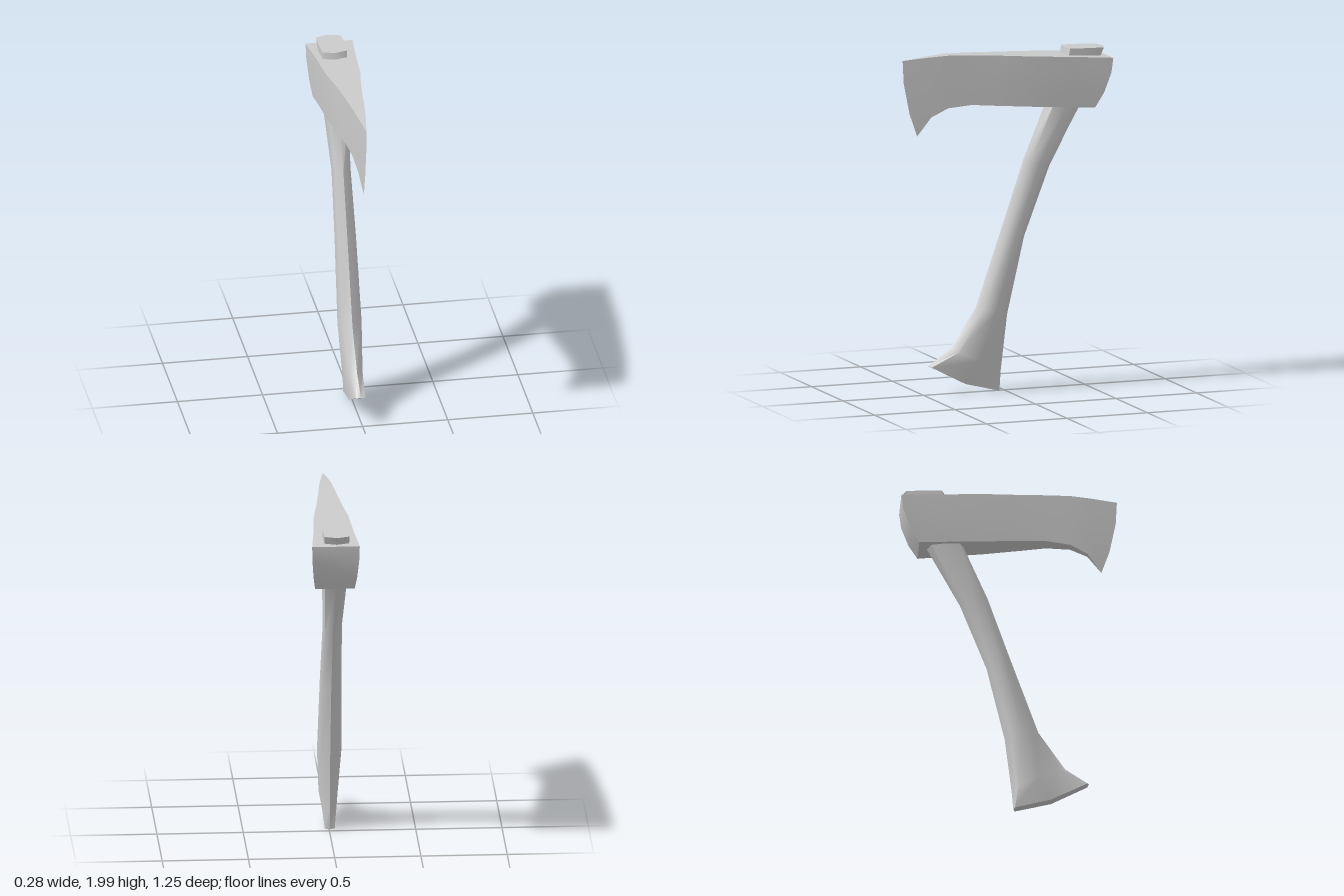
import * as THREE from 'three';
import { toCreasedNormals } from 'three/addons/utils/BufferGeometryUtils.js';

const lerp = THREE.MathUtils.lerp;

// Skins a row of rings. Each ring lists its +x side, then its -x side backwards.
function loft(rings, crease) {
  const n = rings[0].length, last = rings.length - 1;
  const index = [];
  const quad = (a, b, c, d) => index.push(a, b, c, a, c, d);
  for (let k = 0; k < last; k++) {
    for (let i = 0; i < n; i++) {
      const j = (i + 1) % n;
      quad(k * n + i, k * n + j, (k + 1) * n + j, (k + 1) * n + i);
    }
  }
  // end caps, in strips across the ring
  for (let i = 0; i < n / 2 - 1; i++) {
    const a = i, b = i + 1, c = n - 2 - i, d = n - 1 - i, e = last * n;
    quad(d, c, b, a);
    quad(e + a, e + b, e + c, e + d);
  }
  const geometry = new THREE.BufferGeometry();
  geometry.setAttribute('position', new THREE.Float32BufferAttribute(rings.flat(2), 3));
  geometry.setIndex(index);
  return toCreasedNormals(geometry, crease);
}

// Mirrors one side of a ring about x = cx; side points are [halfWidth, y, z]
function mirrorRing(side, cx = 0) {
  const right = side.map(([w, y, z]) => [cx - w, y, z]).reverse();
  return [...side.map(([w, y, z]) => [cx + w, y, z]), ...right];
}

function createHead() {
  // top z, top y, bottom z, bottom y, half width at top and bottom, bow of the column
  const columns = [
    [0.63, 1.98, 0.54, 1.53, 0, 0, 0.025],
    [0.48, 1.993, 0.46, 1.64, 0.022, 0.02, 0.01],
    [0.36, 2.0, 0.36, 1.69, 0.037, 0.034, 0],
    [0.2, 1.994, 0.22, 1.703, 0.053, 0.049, 0],
    [0.03, 1.984, 0.08, 1.692, 0.073, 0.066, 0],
    [-0.15, 1.972, -0.15, 1.675, 0.1, 0.09, 0],
    [-0.4, 1.956, -0.38, 1.66, 0.117, 0.104, 0],
    [-0.625, 1.94, -0.52, 1.65, 0.138, 0.115, -0.025],
  ];
  const rows = [0, 0.3, 0.7, 1];
  return loft(columns.map(([tz, ty, bz, by, tw, bw, bow]) => mirrorRing(rows.map((t) => [
    lerp(tw, bw, t * t),
    lerp(ty, by, t),
    lerp(tz, bz, t) + bow * Math.sin(Math.PI * t),
  ]))), 0.5);
}

function createHandle() {
  // front z, front y, back z, back y, half width, centre x, corner inset, corner width, sag
  const sections = [
    [0.467, 0.175, 0.03, 0.006, 0.032, -0.004, 0.02, 0.9, 0.03],
    [0.33, 0.27, 0.02, 0.12, 0.056, -0.003, 0.12, 0.7, 0],
    [0.175, 0.5, -0.02, 0.45, 0.071, -0.003, 0.17, 0.72, 0],
    [0.0, 1.0, -0.125, 0.9, 0.063, -0.003, 0.17, 0.75, 0],
    [-0.12, 1.35, -0.28, 1.3, 0.056, -0.004, 0.16, 0.78, 0],
    [-0.25, 1.65, -0.47, 1.65, 0.073, -0.008, 0.12, 0.85, 0],
    [-0.355, 1.95, -0.595, 1.94, 0.077, -0.008, 0.09, 0.93, 0],
    [-0.363, 1.998, -0.618, 1.99, 0.077, -0.008, 0.09, 0.93, 0],
  ];
  return loft(sections.map(([fz, fy, bz, by, w, cx, inset, corner, sag]) => {
    const side = [[0, 0], [inset, corner], [0.5, 1], [1 - inset, corner], [1, 0]];
    return mirrorRing(side.map(([s, k]) => [
      w * k,
      lerp(fy, by, s) - sag * Math.sin(Math.PI * s),
      lerp(fz, bz, s),
    ]), cx);
  }), 0.95);
}

export function createModel() {
  const group = new THREE.Group();
  group.name = 'axe';
  const material = new THREE.MeshStandardMaterial({ color: 0xcccccc });
  const parts = { axeHead: createHead(), handle: createHandle() };
  for (const [name, geometry] of Object.entries(parts)) {
    const mesh = new THREE.Mesh(geometry, material);
    mesh.name = name;
    group.add(mesh);
  }
  return group;
}
